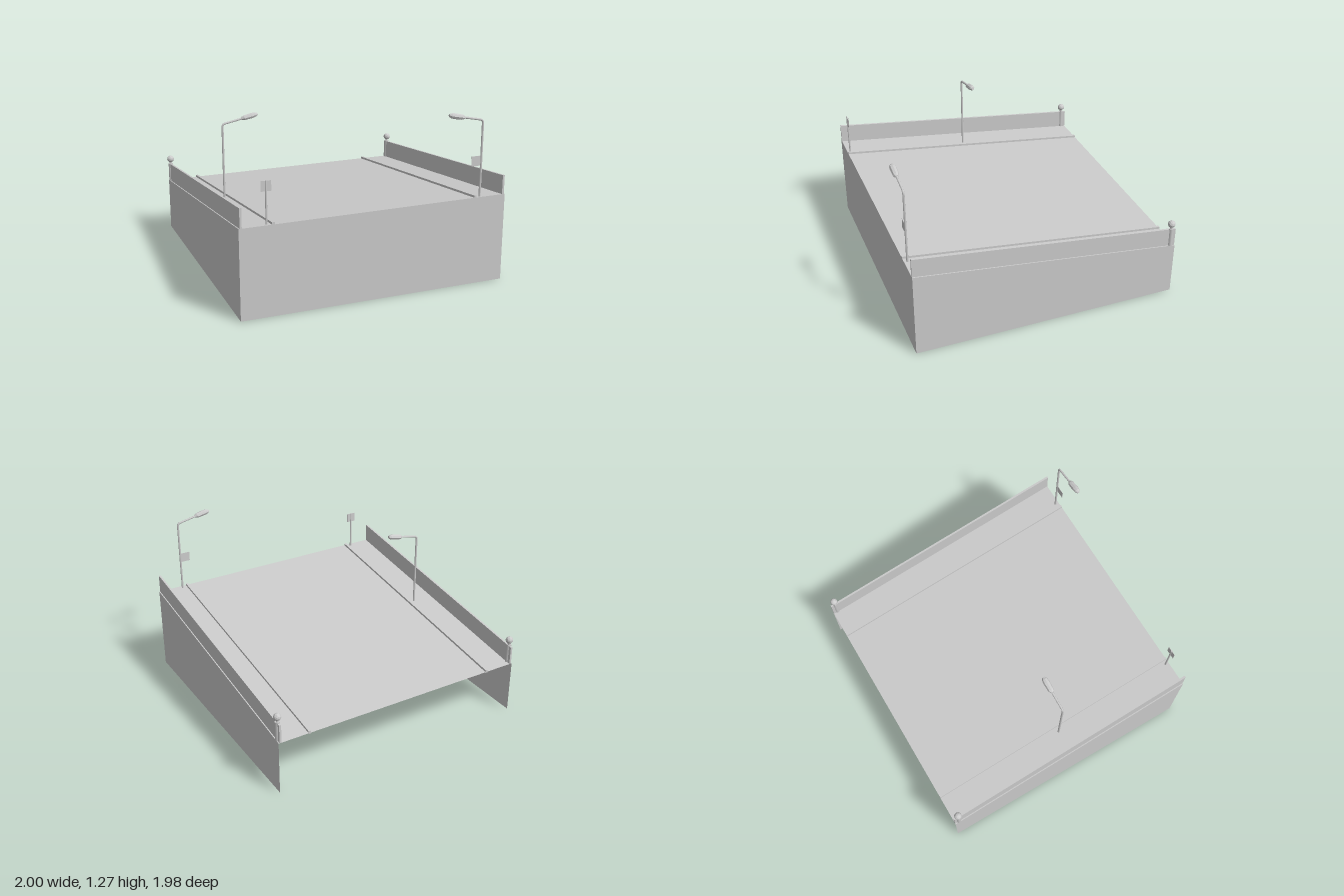
import * as THREE from 'three';

const W = 0.985, D = 0.99, FRONT = 0.65, BACK = 0.405;
const deckY = z => BACK + (FRONT - BACK) * (z + D) / (2 * D);

const flat = new THREE.MeshStandardMaterial({ color: 0xcccccc, flatShading: true });
const thin = new THREE.MeshStandardMaterial({ color: 0xcccccc, flatShading: true, side: THREE.DoubleSide });
const smooth = new THREE.MeshStandardMaterial({ color: 0xcccccc });

function add(parent, name, geometry, material, x = 0, y = 0, z = 0) {
  const mesh = new THREE.Mesh(geometry, material);
  mesh.name = name;
  mesh.position.set(x, y, z);
  parent.add(mesh);
  return mesh;
}

// Side outline as (z, y) points
const outline = points => new THREE.Shape(points.map(([z, y]) => new THREE.Vector2(z, y)));

// Bar following the deck slope, from low to high relative to the deck
function slopedBar(width, low, high) {
  const shape = outline([[-D, BACK + low], [D, FRONT + low], [D, FRONT + high], [-D, BACK + high]]);
  const g = new THREE.ExtrudeGeometry(shape, { depth: width, bevelEnabled: false });
  return g.translate(0, 0, -width / 2).rotateY(-Math.PI / 2);
}

function pole(height, radius) {
  return new THREE.CylinderGeometry(radius, radius, height, 8).translate(0, height / 2, 0);
}

// Street lamp whose arm reaches along +x before it is turned
function streetLamp(name, height) {
  const lamp = new THREE.Group();
  lamp.name = name;
  const path = new THREE.CurvePath();
  const v = (x, y) => new THREE.Vector3(x, y, 0);
  path.add(new THREE.LineCurve3(v(0, 0), v(0, height - 0.02)));
  path.add(new THREE.QuadraticBezierCurve3(v(0, height - 0.02), v(0, height), v(0.02, height + 0.005)));
  path.add(new THREE.LineCurve3(v(0.02, height + 0.005), v(0.16, height + 0.033)));
  add(lamp, 'lampPole', new THREE.TubeGeometry(path, 60, 0.008, 8), smooth);
  const profile = [[0, 0], [0.012, 0], [0.022, 0.018], [0.024, 0.08], [0.021, 0.105], [0.011, 0.122], [0, 0.122]]
    .map(([r, y]) => new THREE.Vector2(r, y));
  const head = new THREE.LatheGeometry(profile, 8).rotateZ(-Math.PI / 2).scale(1, 0.85, 1);
  add(lamp, 'lampHead', head, flat, 0.145, height + 0.03).rotation.z = 0.2;
  return lamp;
}

export function createModel() {
  const model = new THREE.Group();
  model.name = 'bridgeRamp';

  // Sloping road deck, open underneath and at the back
  const slope = Math.atan2(FRONT - BACK, 2 * D);
  const deck = new THREE.PlaneGeometry(2 * W, 2 * D / Math.cos(slope)).rotateX(-Math.PI / 2 - slope);
  add(model, 'deck', deck, thin, 0, (FRONT + BACK) / 2);
  add(model, 'frontWall', new THREE.PlaneGeometry(2 * W, FRONT), thin, 0, FRONT / 2, D);

  // Parts mirrored on both sides
  for (const s of [-1, 1]) {
    const side = s > 0 ? 'left' : 'right';
    const wall = new THREE.ShapeGeometry(outline([[-D, 0], [D, 0], [D, FRONT], [-D, BACK]]));
    add(model, side + 'Wall', wall.rotateY(-Math.PI / 2), thin, s * W);
    add(model, side + 'Parapet', slopedBar(0.015, 0, 0.14), flat, s * 0.97);
    add(model, side + 'Curb', slopedBar(0.018, -0.006, 0.016), flat, s * 0.748);

    // Back corner post with a ball on a short neck
    const post = new THREE.Group();
    post.name = side + 'EndPost';
    post.position.set(s * 0.972, deckY(-0.955), -0.955);
    add(post, 'shaft', pole(0.145, 0.018), smooth);
    add(post, 'neck', pole(0.03, 0.01), smooth, 0, 0.14);
    add(post, 'ball', new THREE.IcosahedronGeometry(0.028, 1), flat, 0, 0.183);
    model.add(post);
  }

  // Street lamps
  const frontLamp = streetLamp('frontLamp', 0.555);
  frontLamp.position.set(0.795, FRONT - 0.003, 0.965);
  frontLamp.rotation.y = Math.PI;
  const middleLamp = streetLamp('middleLamp', 0.565);
  middleLamp.position.set(-0.797, deckY(0.015), 0.015);
  model.add(frontLamp, middleLamp);

  // Signs: one on the front lamp, one on its own pole
  const plate = new THREE.BoxGeometry(0.072, 0.072, 0.003);
  add(model, 'lampSign', plate, flat, 0.754, 0.91, 0.965);
  add(model, 'signPole', pole(0.3, 0.007), smooth, -0.787, FRONT - 0.003, 0.965);
  add(model, 'poleSign', plate, flat, -0.787, 0.91, 0.965);

  return model;
}
